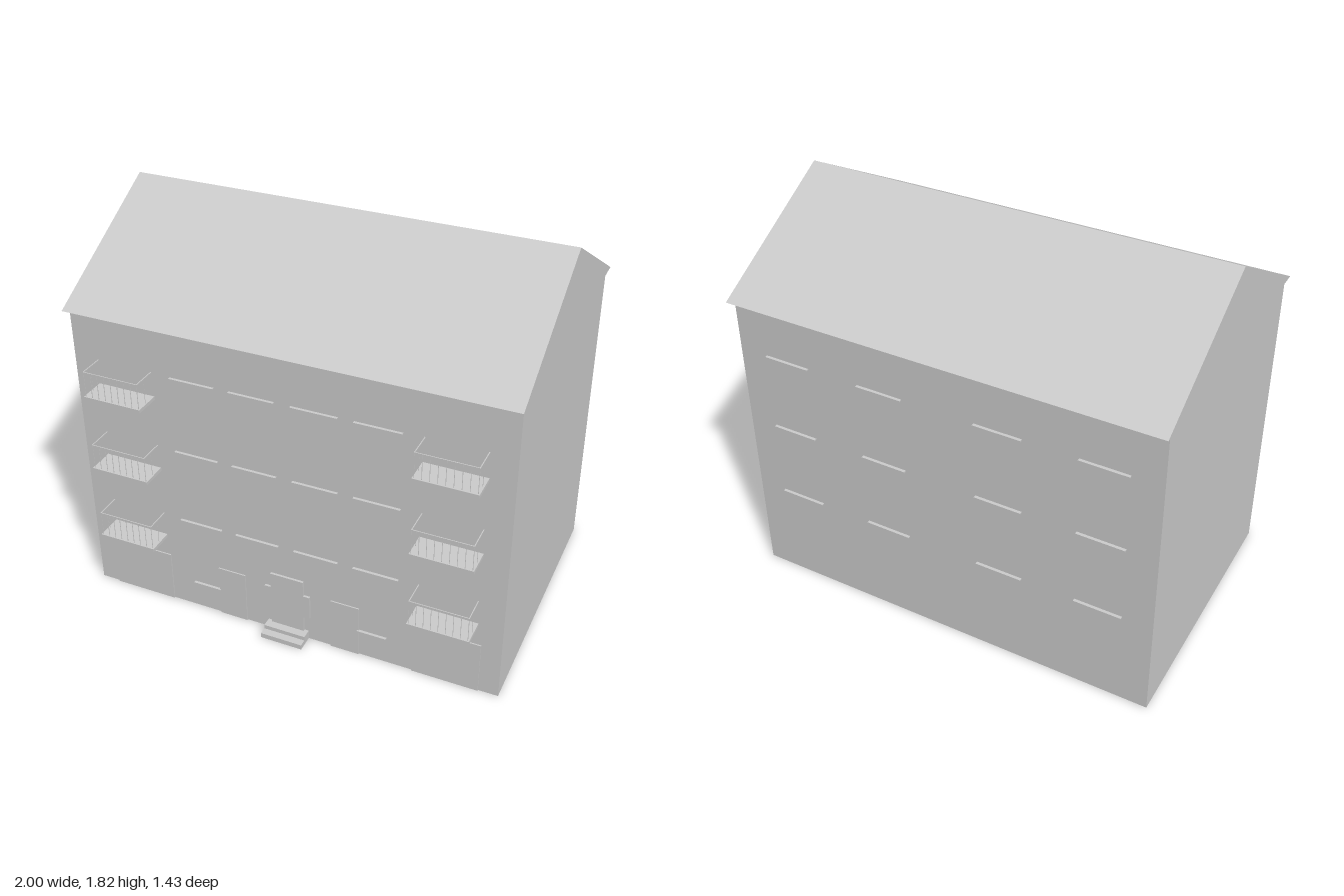
import * as THREE from 'three';

const mat = new THREE.MeshStandardMaterial({ color: 0xcccccc, flatShading: true });
const sheet = new THREE.MeshStandardMaterial({ color: 0xcccccc, flatShading: true, side: THREE.DoubleSide });
const FRONT = 0.593, BACK = -0.673, EAVES = 1.447, STOREY = 0.367;

export function createModel() {
  const house = new THREE.Group();
  house.name = 'apartmentHouse';

  // box given by its limits on each axis
  function box(name, x0, x1, y0, y1, z0, z1, parent = house) {
    const m = new THREE.Mesh(new THREE.BoxGeometry(x1 - x0, y1 - y0, z1 - z0), mat);
    m.position.set((x0 + x1) / 2, (y0 + y1) / 2, (z0 + z1) / 2);
    m.name = name;
    parent.add(m);
    return m;
  }
  // the same box on the left and right
  function pair(name, x0, x1, ...rest) {
    box(name, x0, x1, ...rest);
    box(name, -x1, -x0, ...rest);
  }
  // outline [horizontal, height] extruded by a depth
  function extrude(name, points, depth) {
    const shape = new THREE.Shape(points.map(p => new THREE.Vector2(...p)));
    const m = new THREE.Mesh(new THREE.ExtrudeGeometry(shape, { depth, bevelEnabled: false }), mat);
    m.name = name;
    house.add(m);
    return m;
  }

  // four thin walls, open at the bottom: drop the box's top and floor faces
  const walls = box('walls', -0.99, 0.99, 0, EAVES, BACK, FRONT);
  const faces = Array.from(walls.geometry.index.array);
  walls.geometry.setIndex([...faces.slice(0, 12), ...faces.slice(24)]);
  walls.geometry.clearGroups();
  walls.material = sheet;

  // gabled roof, profile drawn in z and y
  const roof = extrude('roof', [[-0.716, EAVES], [0.634, EAVES], [-0.041, 1.823]], 2);
  roof.rotation.y = -Math.PI / 2;
  roof.position.x = 1;

  // stepped door surround and entrance stairs
  extrude('doorSurround', [[-0.08, 0], [0.08, 0], [0.08, 0.125], [0.11, 0.125], [0.11, 0.245],
    [0.08, 0.245], [0.08, 0.322], [-0.08, 0.322], [-0.08, 0.245], [-0.11, 0.245],
    [-0.11, 0.125], [-0.08, 0.125]], 0.011).position.z = FRONT;
  box('lowerStep', -0.1, 0.1, 0, 0.024, FRONT, 0.675);
  box('upperStep', -0.1, 0.1, 0.024, 0.044, FRONT, 0.64);

  // ground floor doors and sills
  pair('garageDoor', 0.595, 0.9, 0, 0.255, FRONT, FRONT + 0.006);
  pair('sideDoor', 0.21, 0.345, 0, 0.26, FRONT, FRONT + 0.006);
  pair('groundSill', 0.338, 0.475, 0.134, 0.14, FRONT, 0.606);

  // balcony with three-sided railing
  function balcony(x, y) {
    const g = new THREE.Group();
    g.name = 'balcony';
    g.position.set(x, y, 0);
    house.add(g);
    const h = 0.119, zFront = 0.71;
    box('balconySlab', -0.137, 0.137, -0.016, 0, FRONT, 0.715, g);
    box('frontHandrail', -0.132, 0.132, h - 0.004, h, zFront - 0.004, zFront, g);
    for (const s of [-1, 1]) {
      const rx = s * 0.13;
      box('sideHandrail', rx - 0.002, rx + 0.002, h - 0.004, h, FRONT, zFront, g);
      box('sideBaluster', rx - 0.001, rx + 0.001, 0, h - 0.004, 0.6545, 0.6555, g);
    }
    for (let i = 0; i < 9; i++) {
      const bx = -0.13 + i * 0.0325;
      box('baluster', bx - 0.001, bx + 0.001, 0, h - 0.004, zFront - 0.003, zFront - 0.001, g);
    }
  }

  // upper storeys
  for (let i = 0; i < 3; i++) {
    const dy = i * STOREY;
    for (const x of [0.037, 0.315])
      pair('frontSill', x, x + 0.208, 0.477 + dy, 0.483 + dy, FRONT, 0.606);
    for (const x of [0.17, 0.635])
      pair('backSill', x, x + 0.217, 0.465 + dy, 0.471 + dy, BACK - 0.014, BACK);
    for (const s of [-1, 1]) balcony(s * 0.743, 0.369 + dy);
  }
  return house;
}
